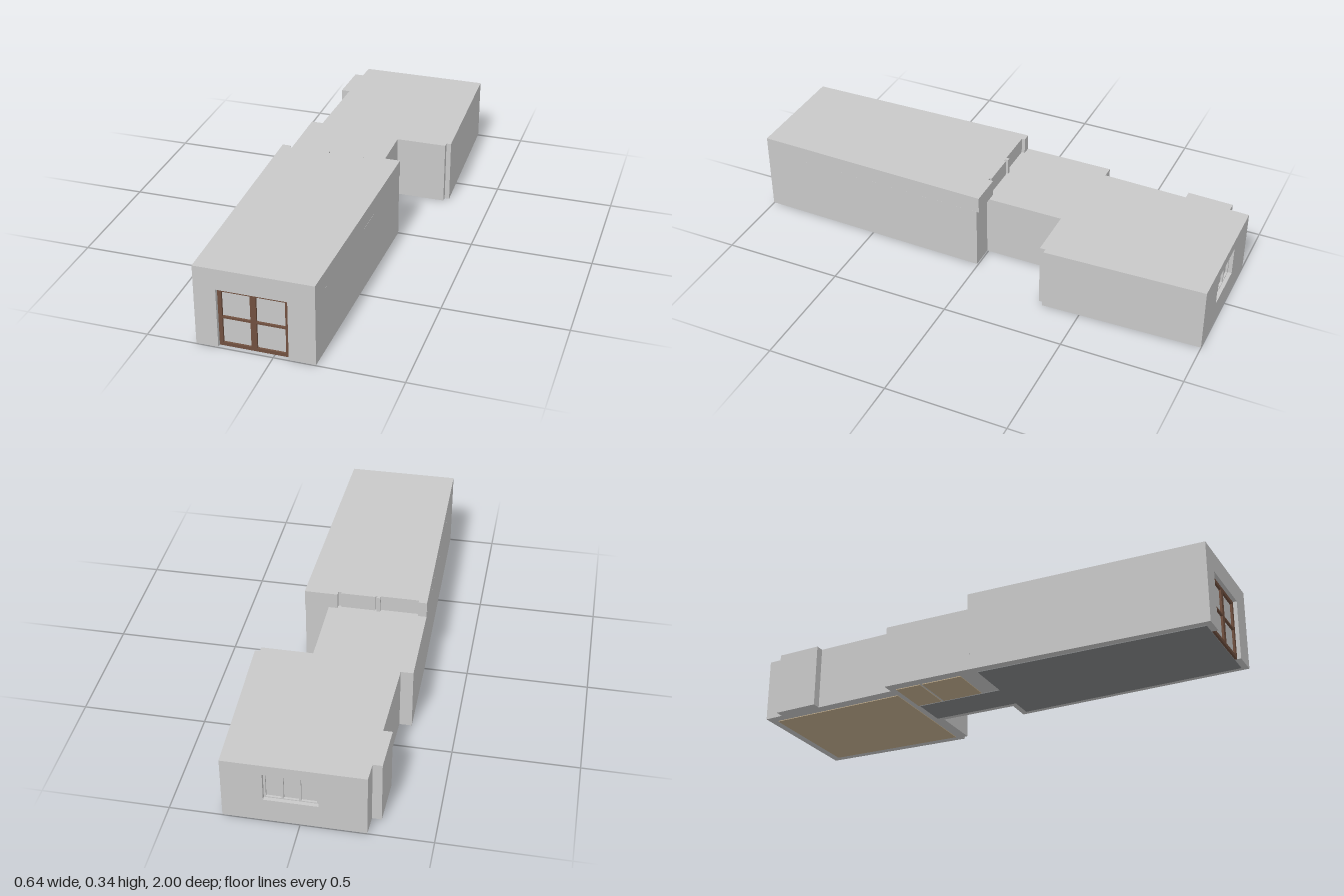
import * as THREE from 'three';

export function createModel() {
  const model = new THREE.Group();
  const mat = (name, color) => Object.assign(new THREE.MeshStandardMaterial({ color }), { name });
  const wall = mat('wallGrey', 0xc8c8c8);
  const brown = mat('doorBrown', 0x70503f);
  const concrete = mat('concreteFloor', 0x86888a);
  const tan = mat('tanFloor', 0xc3af8f);

  const add = (name, geometry, material, parent = model) => {
    const mesh = new THREE.Mesh(geometry, material);
    mesh.name = name;
    parent.add(mesh);
    return mesh;
  };
  // Prism over an [x, z] outline between two heights
  const prism = (name, outline, y0, y1, material, parent) => {
    const shape = new THREE.Shape(outline.map(([x, z]) => new THREE.Vector2(x, -z)));
    const geo = new THREE.ExtrudeGeometry(shape, { depth: y1 - y0, bevelEnabled: false });
    geo.rotateX(-Math.PI / 2).translate(0, y0, 0);
    return add(name, geo, material, parent);
  };
  // Box from its limits
  const box = (name, [x0, x1], [y0, y1], [z0, z1], material, parent) => {
    const mesh = add(name, new THREE.BoxGeometry(x1 - x0, y1 - y0, z1 - z0), material, parent);
    mesh.position.set((x0 + x1) / 2, (y0 + y1) / 2, (z0 + z1) / 2);
    return mesh;
  };

  const base = 0.003, wingTop = 0.27, hallTop = 0.338;

  // Front hall, with a recessed doorway
  const hall = new THREE.Group();
  hall.name = 'frontHall';
  model.add(hall);
  const sides = [[0.165, 1], [0.187, 0.004], [-0.32, 0.004], [-0.302, 1]];
  const doorway = [[-0.215, 1], [-0.215, 0.975], [0.06, 0.975], [0.06, 1]];
  prism('hallWalls', [...sides, ...doorway], base, 0.252, wall, hall);
  prism('hallWallsAboveDoor', sides, 0.252, wingTop, wall, hall);

  // Upper hall, whose rear wall steps between small piers
  const steps = [
    [0.187, -0.006], [0.05, -0.006], [0.05, 0.014], [0.037, 0.014], [0.037, 0.006],
    [-0.105, 0.006], [-0.105, 0.014], [-0.113, 0.014], [-0.113, 0], [-0.127, 0],
    [-0.127, 0.014], [-0.285, 0.014], [-0.285, 0], [-0.32, 0]];
  prism('hallUpperWallsAndRoof', [[0.165, 1], ...steps, [-0.302, 1]], wingTop, hallTop, wall, hall);

  // Brown double door frame
  const door = new THREE.Group();
  door.name = 'frontDoorFrame';
  model.add(door);
  const doorZ = [0.974, 0.984];
  for (const x of [[-0.215, -0.2], [-0.09, -0.067], [0.045, 0.06]])
    box('doorStile', x, [base, 0.252], doorZ, brown, door);
  for (const y of [[base, 0.017], [0.123, 0.131], [0.237, 0.252]])
    for (const x of [[-0.2, -0.09], [-0.067, 0.045]])
      box('doorRail', x, y, doorZ, brown, door);

  // Rear wing, in layers so that the window is recessed in the back wall
  const wing = new THREE.Group();
  wing.name = 'rearWing';
  model.add(wing);
  const wingSides = [
    [0.295, -1], [0.318, -0.345], [0.298, -0.345], [0.298, -0.322], [0.087, -0.322], [0.087, 0.01],
    [-0.32, 0.01], [-0.322, -0.375], [-0.272, -0.375], [-0.262, -0.73], [-0.298, -0.73],
    [-0.292, -0.92], [-0.255, -0.92], [-0.252, -1]];
  const recess = [[-0.07, -1], [-0.07, -0.975], [0.137, -0.975], [0.137, -1]];
  prism('wingLowerWalls', wingSides, base, 0.1, wall, wing);
  prism('wingWallsAtWindow', [...wingSides, ...recess], 0.1, 0.226, wall, wing);
  prism('wingUpperWallsAndRoof', wingSides, 0.226, wingTop, wall, wing);

  // Back window with three panes
  const frame = new THREE.Group();
  frame.name = 'backWindow';
  model.add(frame);
  const frameZ = [-0.984, -0.974];
  for (const x of [-0.066, 0.001, 0.066, 0.133])
    box('windowStile', [x - 0.004, x + 0.004], [0.1, 0.226], frameZ, wall, frame);
  for (const y of [0.104, 0.222])
    box('windowRail', [-0.07, 0.137], [y - 0.004, y + 0.004], frameZ, wall, frame);
  box('windowSill', [-0.07, 0.137], [0.098, 0.104], [-1, -0.975], wall, frame);

  // Floors, inset from the outer walls
  prism('hallAndCorridorFloor', [
    [0.14, 0.975], [0.16, 0.03], [0.06, 0.03], [0.06, -0.34], [-0.09, -0.34],
    [-0.09, 0.03], [-0.285, 0.03], [-0.275, 0.975]], 0, base, concrete);
  box('sideRoomFloor', [-0.28, -0.095], [0, base], [-0.225, -0.05], tan);
  box('smallRoomFloor', [-0.28, -0.095], [0, base], [-0.345, -0.235], tan);
  prism('wingFloor', [
    [0.262, -0.965], [0.28, -0.37], [-0.225, -0.37], [-0.215, -0.965]], 0, base, tan);

  return model;
}
